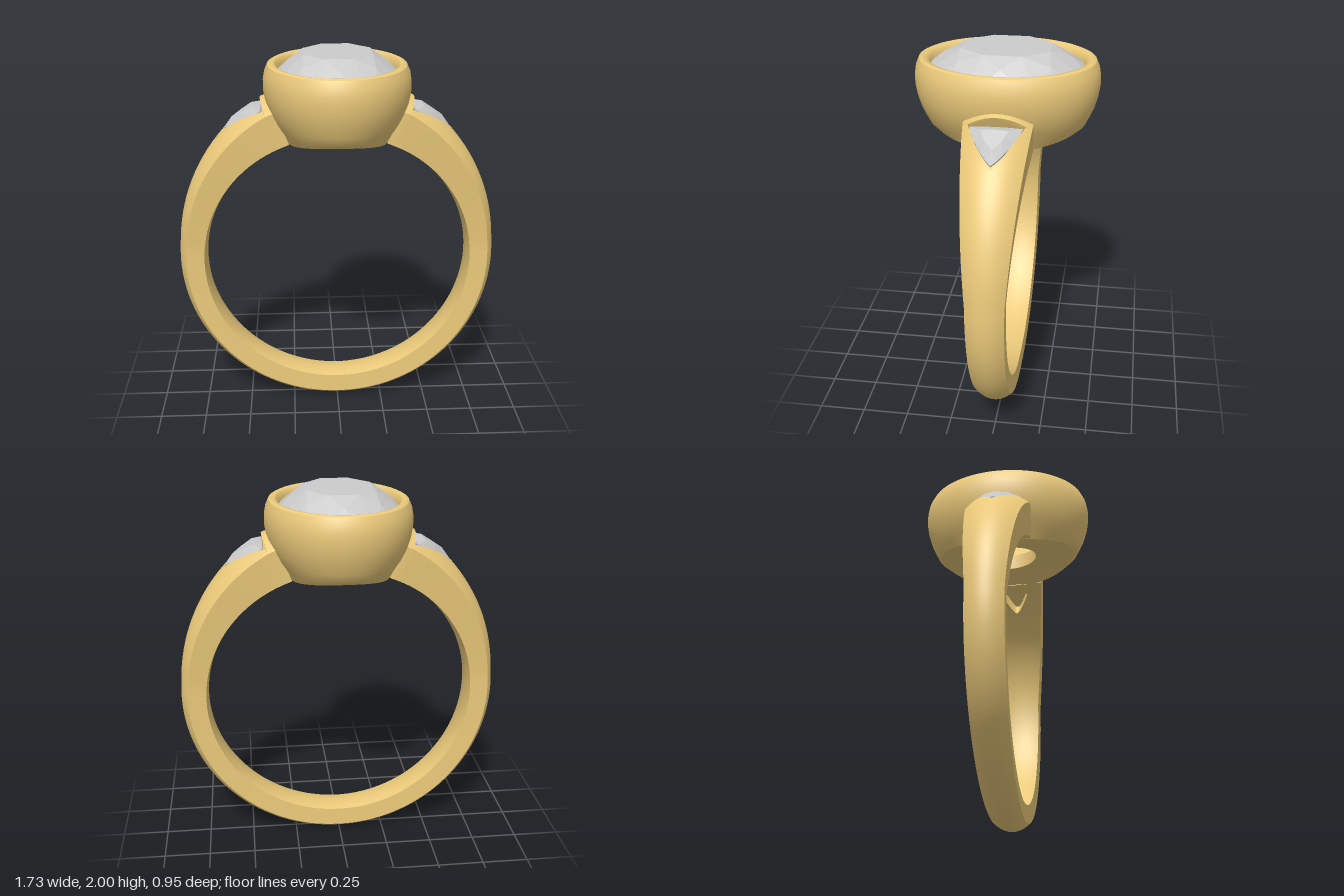
import * as THREE from 'three';
import { toCreasedNormals } from 'three/addons/utils/BufferGeometryUtils.js';
import { ConvexGeometry } from 'three/addons/geometries/ConvexGeometry.js';

const gold = new THREE.MeshStandardMaterial({ color: 0xebca7a });
const gem = new THREE.MeshStandardMaterial({ color: 0xcccccc, flatShading: true });
const CY = 0.87; // height of the finger hole centre
const BORE = 0.715;
const rad = THREE.MathUtils.degToRad;
const clamp01 = (v) => THREE.MathUtils.clamp(v, 0, 1);

// Skin a grid of points (rows of equal length), optionally capping both end rows
function skin(rows, caps) {
  const n = rows[0].length;
  const pos = rows.flat().flatMap((p) => [p.x, p.y, p.z]);
  const idx = [];
  for (let i = 0; i < rows.length - 1; i++) {
    for (let j = 0; j < n - 1; j++) {
      const a = i * n + j, b = a + 1, c = a + n, d = c + 1;
      idx.push(a, b, c, c, b, d);
    }
  }
  if (caps) {
    [0, rows.length - 1].forEach((r, end) => {
      const mid = new THREE.Vector3();
      rows[r].forEach((p) => mid.addScaledVector(p, 1 / n));
      const m = pos.length / 3;
      pos.push(mid.x, mid.y, mid.z);
      for (let j = 0; j < n - 1; j++) {
        const a = r * n + j;
        if (end) idx.push(m, a, a + 1);
        else idx.push(m, a + 1, a);
      }
    });
  }
  const g = new THREE.BufferGeometry();
  g.setAttribute('position', new THREE.Float32BufferAttribute(pos, 3));
  g.setIndex(idx);
  return toCreasedNormals(g, rad(35));
}

// One band cross-section; a = degrees away from the top
function bandSection(a, side) {
  const t = Math.pow(clamp01((85 - a) / 61), 1.35);
  const crown = 0.865 + 0.118 * t, edge = 0.825 + 0.085 * t;
  const W = 0.085 + 0.012 * clamp01((180 - a) / 90) + 0.075 * Math.pow(clamp01((85 - a) / 62), 1.1);
  const Wi = W * 0.95;
  const outer = (z) => edge + (crown - edge) * (1 - (z / W) ** 2);
  const inner = (z) => BORE + 0.012 * (z / Wi) ** 2;
  // gem seat on the outside, small triangular opening on the inside
  const w = a < 24.25 ? 0 : 0.142 * Math.pow(clamp01((40.5 - a) / 16.2), 0.75);
  const wi = a < 26.5 ? 0 : 0.075 * Math.pow(clamp01((37 - a) / 10), 0.7);
  const floor = w > 0 ? Math.min(outer(w), 0.9) : outer(0);
  const roof = wi > 0 ? 0.8 : inner(0);
  const pts = [];
  const run = (z0, z1, f) => {
    for (let k = 0; k <= 6; k++) {
      const z = THREE.MathUtils.lerp(z0, z1, k / 6);
      pts.push([z, f(z)]);
    }
  };
  run(-W, -w, outer);
  pts.push([-w, floor], [w, floor]);
  run(w, W, outer);
  run(Wi, wi, inner);
  pts.push([wi, roof], [-wi, roof]);
  run(-wi, -Wi, inner);
  pts.push(pts[0]);
  const s = Math.sin(rad(a)) * side, c = Math.cos(rad(a));
  return pts.map(([z, r]) => new THREE.Vector3(r * s, CY + r * c, z));
}

function bandGeometry() {
  const angles = [20.5, 22.5, 24.2, 24.3];
  for (let a = 25; a < 41; a += 0.5) angles.push(a);
  for (let a = 42; a < 180; a += 3) angles.push(a);
  const half = (side) => angles.map((a) => bandSection(a, side));
  return skin([...half(1), bandSection(180, 1), ...half(-1).reverse()], true);
}

// Oval cup: [half width x, half width z, y]; without y the point lies on the bore
function bezelGeometry() {
  const profile = [
    [0.12, 0.165], [0.17, 0.235], [0.22, 0.31], [0.268, 0.382],
    [0.303, 0.405, 1.605], [0.333, 0.427, 1.65], [0.358, 0.449, 1.7], [0.375, 0.465, 1.755],
    [0.384, 0.474, 1.81], [0.384, 0.474, 1.86], [0.376, 0.466, 1.905], [0.36, 0.45, 1.94],
    [0.345, 0.435, 1.947], [0.325, 0.413, 1.943], [0.311, 0.397, 1.928], [0.303, 0.388, 1.9],
    [0.3, 0.383, 1.875], [0.12, 0.165, 1.67], [0.12, 0.165],
  ];
  const rows = [];
  const N = 72;
  for (let i = 0; i <= N; i++) {
    const t = ((i % N) / N) * Math.PI * 2;
    rows.push(profile.map(([ax, az, y]) => {
      const x = ax * Math.cos(t);
      return new THREE.Vector3(x, y ?? CY + Math.sqrt(0.72 ** 2 - x * x), az * Math.sin(t));
    }));
  }
  return skin(rows);
}

// Oval brilliant: hull of table, crown, girdle and pavilion rings
function ovalGem() {
  const pts = [new THREE.Vector3(0, 1.63, 0)];
  const ring = (n, scale, y, offset) => {
    for (let i = 0; i < n; i++) {
      const t = ((i + offset) / n) * Math.PI * 2;
      pts.push(new THREE.Vector3(0.308 * scale * Math.cos(t), y, 0.393 * scale * Math.sin(t)));
    }
  };
  ring(8, 0.62, 2, 0.5);
  ring(8, 0.84, 1.954, 0);
  ring(32, 1, 1.905, 0);
  ring(32, 1, 1.893, 0);
  ring(8, 0.5, 1.765, 0.5);
  return new ConvexGeometry(pts);
}

// Three-cornered gem with bowed sides, lying on the sloping shoulder
function triangleGem(side) {
  const tip = new THREE.Vector2(0.597, 1.603), base = new THREE.Vector2(0.403, 1.717);
  const along = tip.clone().sub(base), len = along.length();
  along.normalize();
  const up = new THREE.Vector2(-along.y, along.x);
  const corners = [[len, 0], [0, 0.13], [0, -0.13]];
  const mid = [len * 0.36, 0];
  const pts = [];
  const add = (u, v, h) => pts.push(new THREE.Vector3(
    side * (base.x + along.x * u + up.x * h), base.y + along.y * u + up.y * h, v));
  const ring = (scale, h, steps, bow) => corners.forEach((p, i) => {
    const q = corners[(i + 1) % 3];
    for (let k = 0; k < steps; k++) {
      const f = k / steps;
      const b = 1 + bow[i] * 4 * f * (1 - f);
      const u = THREE.MathUtils.lerp(p[0], q[0], f) - mid[0];
      const v = THREE.MathUtils.lerp(p[1], q[1], f);
      add(mid[0] + u * scale * b, v * scale * b, h);
    }
  });
  ring(1, 0, 6, [0.2, 0.06, 0.2]);
  ring(1, -0.01, 6, [0.2, 0.06, 0.2]);
  ring(0.52, 0.03, 2, [0.25, 0.1, 0.25]);
  add(mid[0], 0, -0.09);
  return new ConvexGeometry(pts);
}

export function createModel() {
  const group = new THREE.Group();
  const add = (name, geometry, material) => {
    const mesh = new THREE.Mesh(geometry, material);
    mesh.name = name;
    group.add(mesh);
  };
  add('band', bandGeometry(), gold);
  add('bezel', bezelGeometry(), gold);
  add('centreGem', ovalGem(), gem);
  add('leftSideGem', triangleGem(1), gem);
  add('rightSideGem', triangleGem(-1), gem);
  return group;
}
